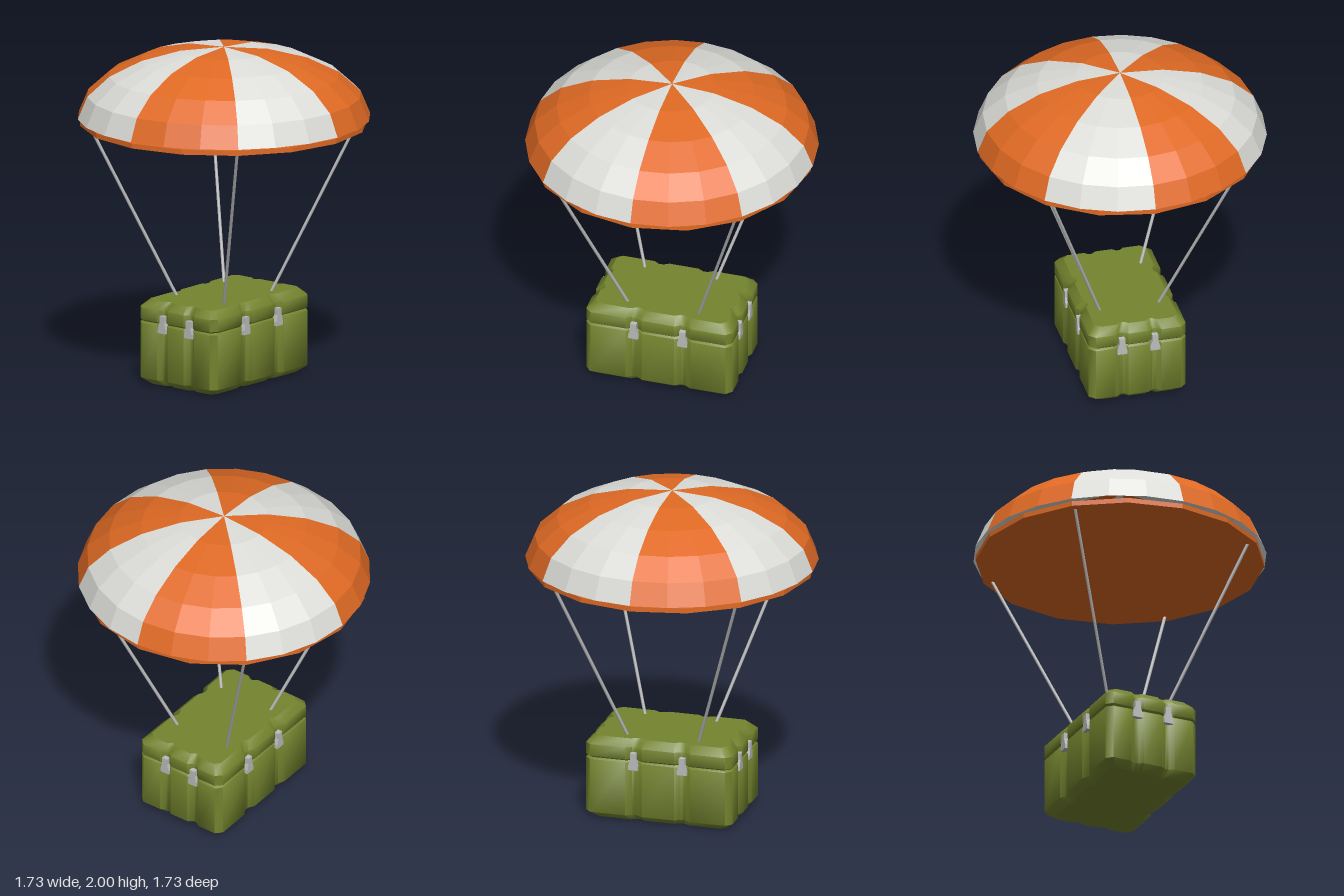
import * as THREE from 'three';
import { mergeGeometries, toCreasedNormals } from 'three/addons/utils/BufferGeometryUtils.js';

const HX = 0.45, HZ = 0.295;   // crate half sizes
const GX = 0.15, GZ = 0.1;     // groove and latch offsets on long and short sides

// Plan outline of the crate: bevelled corners and two shallow grooves per side
function crateOutline() {
  const pts = [], corner = 0.035, depth = 0.022;
  const side = (half, g, w, map) => {
    const run = [[half - corner, 0], [g + w, 0], [g + 0.3 * w, depth], [g - 0.3 * w, depth], [g - w, 0]];
    for (const [t, d] of run) pts.push(map(-t, d));
    for (const [t, d] of run.slice().reverse()) pts.push(map(t, d));
  };
  side(HX, GX, 0.05, (t, d) => [t, HZ - d]);
  side(HZ, GZ, 0.04, (t, d) => [HX - d, -t]);
  side(HX, GX, 0.05, (t, d) => [-t, d - HZ]);
  side(HZ, GZ, 0.04, (t, d) => [d - HX, t]);
  return pts;
}

function fromTriangles(tris) {
  const g = new THREE.BufferGeometry();
  g.setAttribute('position', new THREE.Float32BufferAttribute(tris.flat(), 3));
  g.computeVertexNormals();
  return g;
}

// Loft the outline through [y, inset] levels, with flat caps
function loft(levels) {
  const outline = crateOutline(), n = outline.length;
  const rings = levels.map(([y, inset]) =>
    outline.map(([x, z]) => [x * (1 - inset / HX), y, z * (1 - inset / HZ)]));
  const walls = [], caps = [];
  const low = rings[0], high = rings[rings.length - 1];
  for (let i = 0; i < n; i++) {
    const j = (i + 1) % n;
    for (let k = 0; k < rings.length - 1; k++) {
      const a = rings[k], b = rings[k + 1];
      walls.push(a[i], a[j], b[j], a[i], b[j], b[i]);
    }
    caps.push([0, high[0][1], 0], high[i], high[j]);
    caps.push([0, low[0][1], 0], low[j], low[i]);
  }
  return mergeGeometries([toCreasedNormals(fromTriangles(walls), 0.9), fromTriangles(caps)]);
}

export function createModel() {
  const model = new THREE.Group();
  const mat = (name, color, side = THREE.FrontSide) => {
    const m = new THREE.MeshStandardMaterial({ color, side });
    m.name = name;
    return m;
  };
  const orange = mat('orange', 0xe06a24, THREE.DoubleSide);
  const white = mat('white', 0xdcdcd8, THREE.DoubleSide);
  const green = mat('olive green', 0x74842e);
  const grey = mat('metal grey', 0xbcbcbc);
  const add = (name, geometry, material, parent = model) => {
    const mesh = new THREE.Mesh(geometry, material);
    mesh.name = name;
    parent.add(mesh);
    return mesh;
  };
  const group = (name) => {
    const g = new THREE.Group();
    g.name = name;
    model.add(g);
    return g;
  };

  // Canopy: eight faceted gores in alternating colours
  const canopy = group('canopy');
  const profile = [[0.866, 1.58], [0.81, 1.715], [0.68, 1.833], [0.49, 1.925], [0.26, 1.982], [0, 2]]
    .map(([r, y]) => new THREE.Vector2(r, y));
  for (let i = 0; i < 8; i++) {
    const gore = new THREE.LatheGeometry(profile, 3, i * Math.PI / 4, Math.PI / 4).toNonIndexed();
    gore.computeVertexNormals();
    add('gore', gore, i % 2 ? white : orange, canopy);
  }

  // Flat disc closing the canopy from below
  const disc = new THREE.CylinderGeometry(0.852, 0.852, 0.03, 16).toNonIndexed();
  disc.computeVertexNormals();
  add('canopyBase', disc, orange).position.y = 1.555;

  // Four ropes from the canopy base to the crate lid
  const ropes = group('ropes');
  for (const sx of [-1, 1]) for (const sz of [-1, 1]) {
    const top = new THREE.Vector3(sx * 0.565, 1.545, sz * 0.565);
    const bottom = new THREE.Vector3(sx * 0.218, 0.5, sz * 0.178);
    const dir = top.clone().sub(bottom);
    const rope = add('rope', new THREE.CylinderGeometry(0.01, 0.01, dir.length(), 6), grey, ropes);
    rope.position.copy(top).add(bottom).multiplyScalar(0.5);
    rope.quaternion.setFromUnitVectors(new THREE.Vector3(0, 1, 0), dir.normalize());
  }

  // Crate body and lid with a narrow seam between them
  add('crateBody', loft([[0, 0.05], [0.04, 0], [0.372, 0], [0.382, 0.012]]), green);
  add('crateLid', loft([[0.382, 0.012], [0.392, 0], [0.465, 0], [0.51, 0.045]]), green);

  // Latches, two on each side of the crate
  const latches = group('latches');
  const half = [[0.03, 0.33], [0.03, 0.355], [0.018, 0.395], [0.018, 0.435]];
  const shape = new THREE.Shape([...half, ...half.map(([x, y]) => [-x, y]).reverse()]
    .map(([x, y]) => new THREE.Vector2(x, y)));
  const latchGeometry = new THREE.ExtrudeGeometry(shape, { depth: 0.033, bevelEnabled: false });
  for (let k = 0; k < 4; k++) {
    const pivot = new THREE.Group();
    pivot.name = 'latchPair';
    pivot.rotation.y = k * Math.PI / 2;
    latches.add(pivot);
    const [offset, reach] = k % 2 ? [GZ, HX] : [GX, HZ];
    for (const s of [-1, 1])
      add('latch', latchGeometry, grey, pivot).position.set(s * offset, 0, reach - 0.026);
  }
  return model;
}
